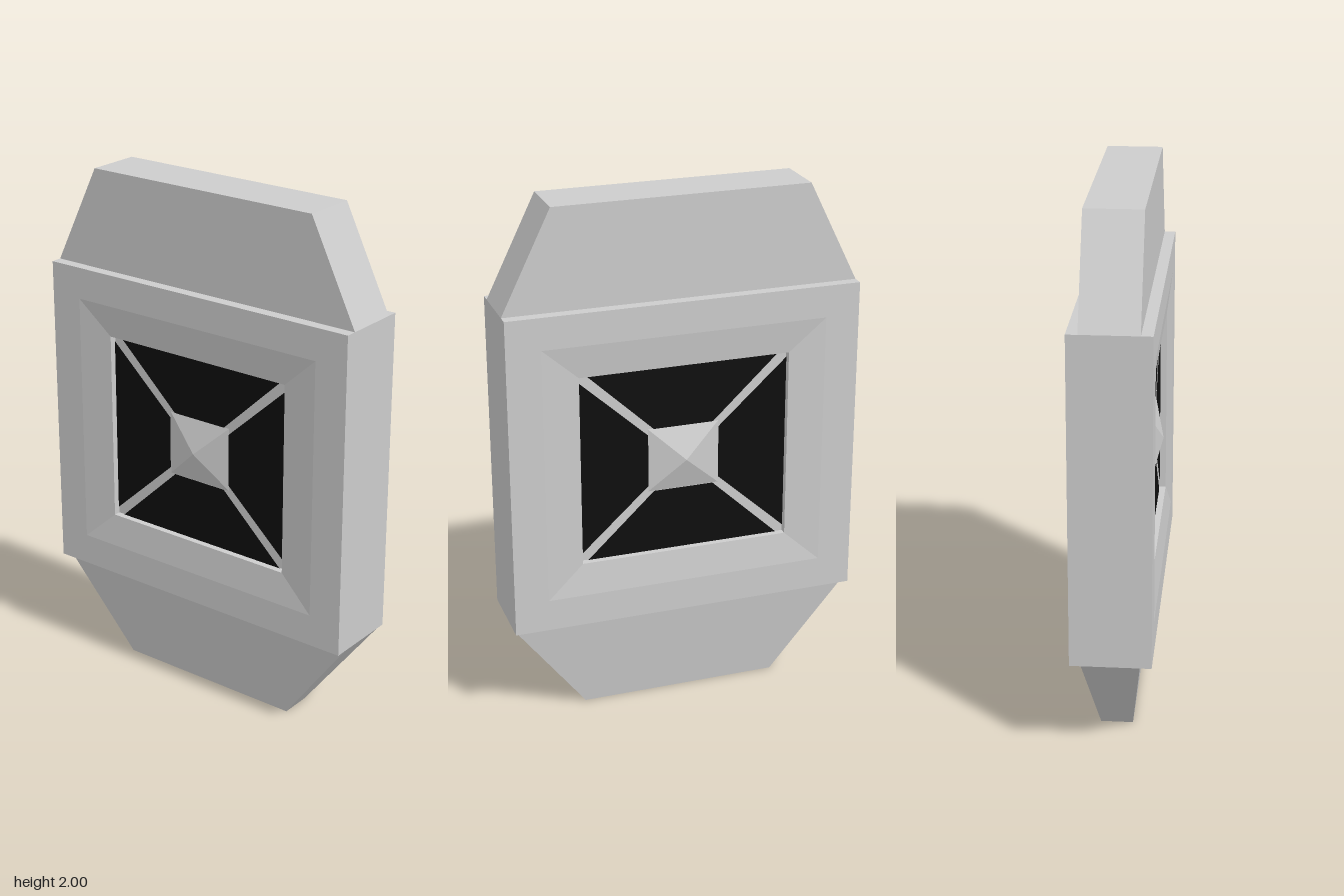
import * as THREE from 'three';

// Rectangular rings [height, halfX, halfZ] joined from bottom to top with flat faces
function loft(rings) {
  const signs = [[1, 1], [1, -1], [-1, -1], [-1, 1]];
  const pts = rings.map(([h, a, b]) => signs.map(([s, t]) => new THREE.Vector3(s * a, h, t * b)));
  const pos = [];
  const tri = (a, b, c) => {
    if (new THREE.Triangle(a, b, c).getArea() < 1e-9) return; // closed tips
    for (const p of [a, b, c]) pos.push(p.x, p.y, p.z);
  };
  for (let i = 0; i < pts.length - 1; i++) {
    for (let k = 0; k < 4; k++) {
      const n = (k + 1) % 4;
      tri(pts[i][k], pts[i][n], pts[i + 1][n]);
      tri(pts[i][k], pts[i + 1][n], pts[i + 1][k]);
    }
  }
  const g = new THREE.BufferGeometry();
  g.setAttribute('position', new THREE.Float32BufferAttribute(pos, 3));
  g.computeVertexNormals();
  return g;
}

export function createModel() {
  const model = new THREE.Group();
  model.name = 'beveledPanelBlock';
  const grey = new THREE.MeshStandardMaterial({ color: 0xcccccc });
  grey.name = 'light grey';
  const black = new THREE.MeshStandardMaterial({ color: 0x0e0e0e });
  black.name = 'black';

  const add = (parent, name, geometry, material) => {
    const mesh = new THREE.Mesh(geometry, material);
    mesh.name = name;
    parent.add(mesh);
    return mesh;
  };

  // Housing: sloped frame, recessed floor and small central pyramid on both sides
  const face = [
    [0.147, 0.617, 0.67],
    [0.147, 0.495, 0.54],
    [0.132, 0.37, 0.402],
    [0.105, 0.37, 0.402],
    [0.105, 0.125, 0.137],
    [0.145, 0, 0],
  ];
  const back = face.map(([h, a, b]) => [-h, a, b]).reverse();
  const housing = loft([...back, ...face]).rotateZ(-Math.PI / 2).translate(0, 1.003, 0);
  add(model, 'housing', housing, grey);

  // Tapered blocks above and below the housing
  add(model, 'topBlock', loft([
    [1.61, 0, 0], [1.61, 0.105, 0.67], [1.62, 0.105, 0.67], [2, 0.105, 0.483], [2, 0, 0],
  ]), grey);
  add(model, 'bottomBlock', loft([
    [0, 0, 0], [0, 0.06, 0.383], [0.386, 0.105, 0.67], [0.395, 0.105, 0.67], [0.395, 0, 0],
  ]), grey);

  // Four dark trapezoid panes on each recessed floor, with diagonal ribs left between them
  const trapezoid = (points) =>
    new THREE.ShapeGeometry(new THREE.Shape(points.map(([u, v]) => new THREE.Vector2(u, v))));
  for (const side of [1, -1]) {
    const panes = new THREE.Group();
    panes.name = side > 0 ? 'leftPanes' : 'rightPanes';
    for (const s of [1, -1]) {
      const level = trapezoid([[-0.374 * s, 0.37 * s], [-0.115 * s, 0.125 * s], [0.115 * s, 0.125 * s], [0.374 * s, 0.37 * s]]);
      const upright = trapezoid([[0.402 * s, 0.345 * s], [0.137 * s, 0.102 * s], [0.137 * s, -0.102 * s], [0.402 * s, -0.345 * s]]);
      add(panes, s > 0 ? 'upperPane' : 'lowerPane', level, black);
      add(panes, s > 0 ? 'backPane' : 'frontPane', upright, black);
    }
    panes.position.set(side * 0.108, 1.003, 0);
    panes.rotation.y = side * Math.PI / 2;
    model.add(panes);
  }
  return model;
}
